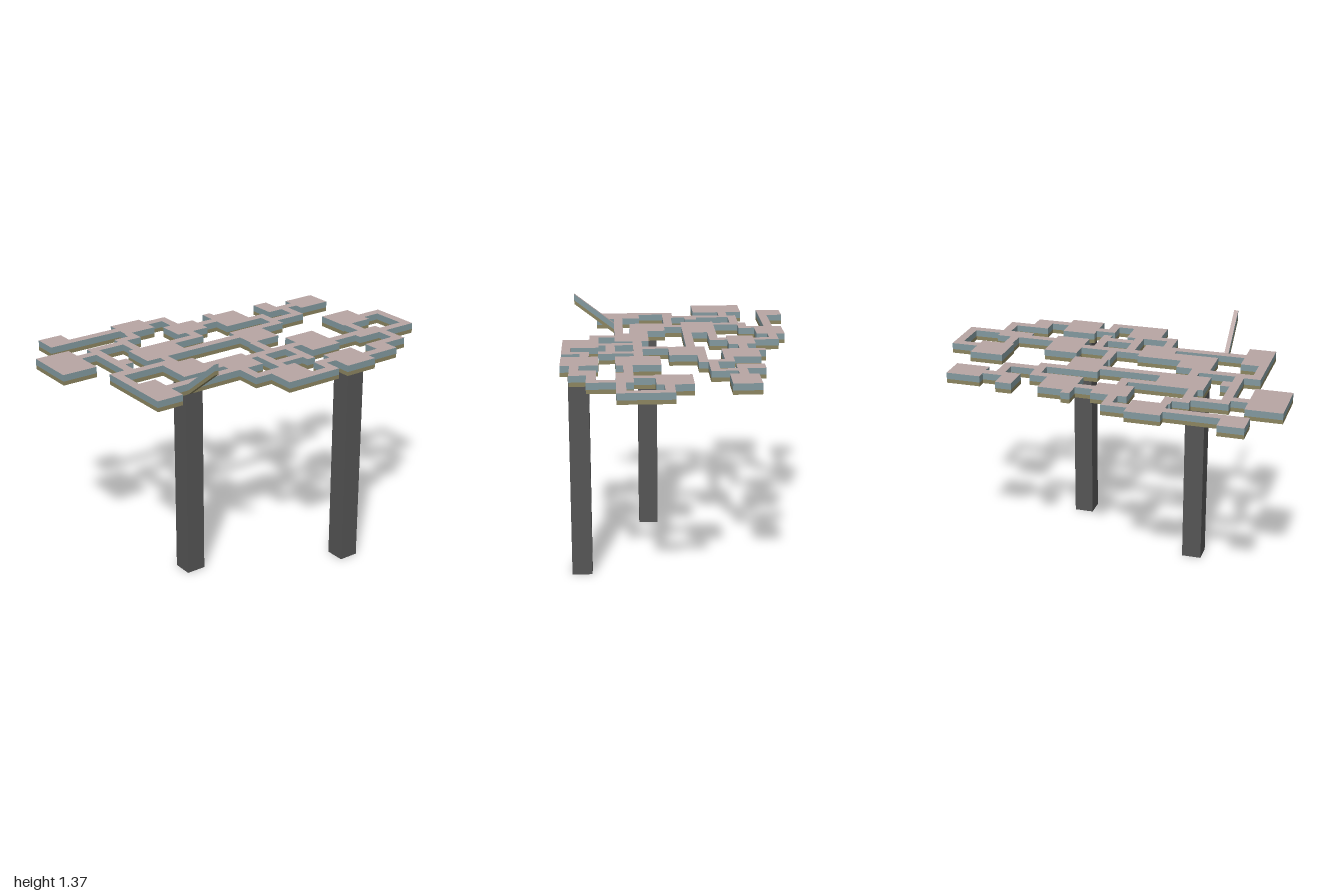
import * as THREE from 'three';

// Plan coordinates are in hundredths of a unit.
// Rooms: x0, z0, x1, z1
const ROOMS = [
  [-85, -65, -71, -51], [-41, -61, -22, -45], [-18, -42, 2, -27], [-100, -41, -80, -12],
  [-67, -13, -61, -6], [-54, -22, -27, -3], [7, -13, 26, 7], [12, -42, 31, -22],
  [46, -42, 55, -27], [66, -37, 85, -22], [-80, 1, -71, 7], [-80, 21, -65, 46],
  [-51, 7, -32, 26], [-51, 17, -7, 27], [-26, 26, -7, 36], [27, 12, 46, 36],
  [-12, 45, 7, 65], [27, 45, 46, 65], [56, 46, 66, 60], [61, 27, 80, 36], [66, -3, 85, 16],
];
// Passages along x: x0, x1, z0
const ALONG_X = [
  [-71, -41, -56], [-22, -8, -56], [-51, -37, -41], [-71, -46, -37], [-80, -66, -32],
  [-54, -8, -22], [-27, 7, -8], [26, 41, -13], [31, 41, -27], [2, 12, -37], [41, 60, -18],
  [55, 66, -32], [-80, -41, 2], [-65, -17, 31], [-7, 27, 21], [2, 21, 36], [-22, -12, 45],
  [7, 21, 60], [17, 27, 50], [46, 66, 55], [56, 80, 46], [46, 61, 27], [85, 100, 7], [80, 100, 31],
];
// Passages along z: z0, z1, x0
const ALONG_Z = [
  [-56, -42, -13], [-45, -36, -42], [-41, -22, -51], [-37, 7, -71], [-27, -17, -13],
  [-27, -8, 36], [-46, -42, 12], [-32, -13, 55], [-3, 7, -46], [1, 21, -80], [7, 21, 6],
  [26, 45, 16], [26, 45, -3], [36, 50, -22], [50, 65, 16], [36, 51, 75], [16, 27, 67], [7, 36, 95],
];
const W = 5; // passage width
const Y0 = 1.132, Y1 = 1.154, Y2 = 1.19; // underside, colour seam, top

const materials = {
  top: new THREE.MeshStandardMaterial({ color: 0xb8a6a4 }),
  side: new THREE.MeshStandardMaterial({ color: 0x82999f }),
  base: new THREE.MeshStandardMaterial({ color: 0x8c8560 }),
};

// Collects quads per colour, then turns them into meshes.
function slabBuilder() {
  const data = { top: [], side: [], base: [] };
  const quad = (part, a, b, c, d) => data[part].push(...a, ...b, ...c, ...a, ...c, ...d);
  return {
    // walls: which of the +z, +x, -z, -x sides are exposed
    cell(x0, z0, x1, z1, walls, lift = () => 0) {
      const p = ([x, z], y) => [x / 100, y + lift(z), z / 100];
      const c = [[x0, z1], [x1, z1], [x1, z0], [x0, z0]];
      quad('top', ...c.map((k) => p(k, Y2)));
      quad('base', ...[...c].reverse().map((k) => p(k, Y0)));
      walls.forEach((open, i) => {
        if (!open) return;
        const a = c[i], b = c[(i + 1) % 4];
        quad('base', p(a, Y0), p(b, Y0), p(b, Y1), p(a, Y1));
        quad('side', p(a, Y1), p(b, Y1), p(b, Y2), p(a, Y2));
      });
    },
    build(name) {
      const group = new THREE.Group();
      group.name = name;
      for (const part in data) {
        const g = new THREE.BufferGeometry();
        g.setAttribute('position', new THREE.Float32BufferAttribute(data[part], 3));
        g.computeVertexNormals();
        const mesh = new THREE.Mesh(g, materials[part]);
        mesh.name = name + part[0].toUpperCase() + part.slice(1);
        group.add(mesh);
      }
      return group;
    },
  };
}

// Union of all rooms and passages, with walls only on the outline
function floorPlan() {
  const rects = [
    ...ROOMS,
    ...ALONG_X.map(([a, b, z]) => [a, z, b, z + W]),
    ...ALONG_Z.map(([a, b, x]) => [x, a, x + W, b]),
  ];
  const edges = (i, j) => [...new Set(rects.flatMap((r) => [r[i], r[j]]))].sort((a, b) => a - b);
  const xs = edges(0, 2), zs = edges(1, 3);
  const filled = (i, j) => {
    const x = (xs[i] + xs[i + 1]) / 2, z = (zs[j] + zs[j + 1]) / 2;
    return rects.some((r) => x > r[0] && x < r[2] && z > r[1] && z < r[3]);
  };
  const slab = slabBuilder();
  for (let i = 0; i < xs.length - 1; i++) {
    for (let j = 0; j < zs.length - 1; j++) {
      if (!filled(i, j)) continue;
      const walls = [[0, 1], [1, 0], [0, -1], [-1, 0]].map(([u, v]) => !filled(i + u, j + v));
      slab.cell(xs[i], zs[j], xs[i + 1], zs[j + 1], walls);
    }
  }
  return slab.build('floorPlan');
}

export function createModel() {
  const model = new THREE.Group();
  model.name = 'raisedFloorPlan';
  model.add(floorPlan());

  // Narrow ramp rising from the front passage
  const ramp = slabBuilder();
  ramp.cell(-54.8, 36, -52.4, 59, [true, true, true, true], (z) => ((z - 36) / 23) * 0.177);
  model.add(ramp.build('ramp'));

  // Two square supports
  const dark = new THREE.MeshStandardMaterial({ color: 0x555555 });
  [[-0.42, 0.17], [0.36, 0.555]].forEach(([x, z], i) => {
    const post = new THREE.Mesh(new THREE.BoxGeometry(0.11, Y0, 0.11), dark);
    post.name = i ? 'frontPost' : 'rearPost';
    post.position.set(x, Y0 / 2, z);
    model.add(post);
  });
  return model;
}
